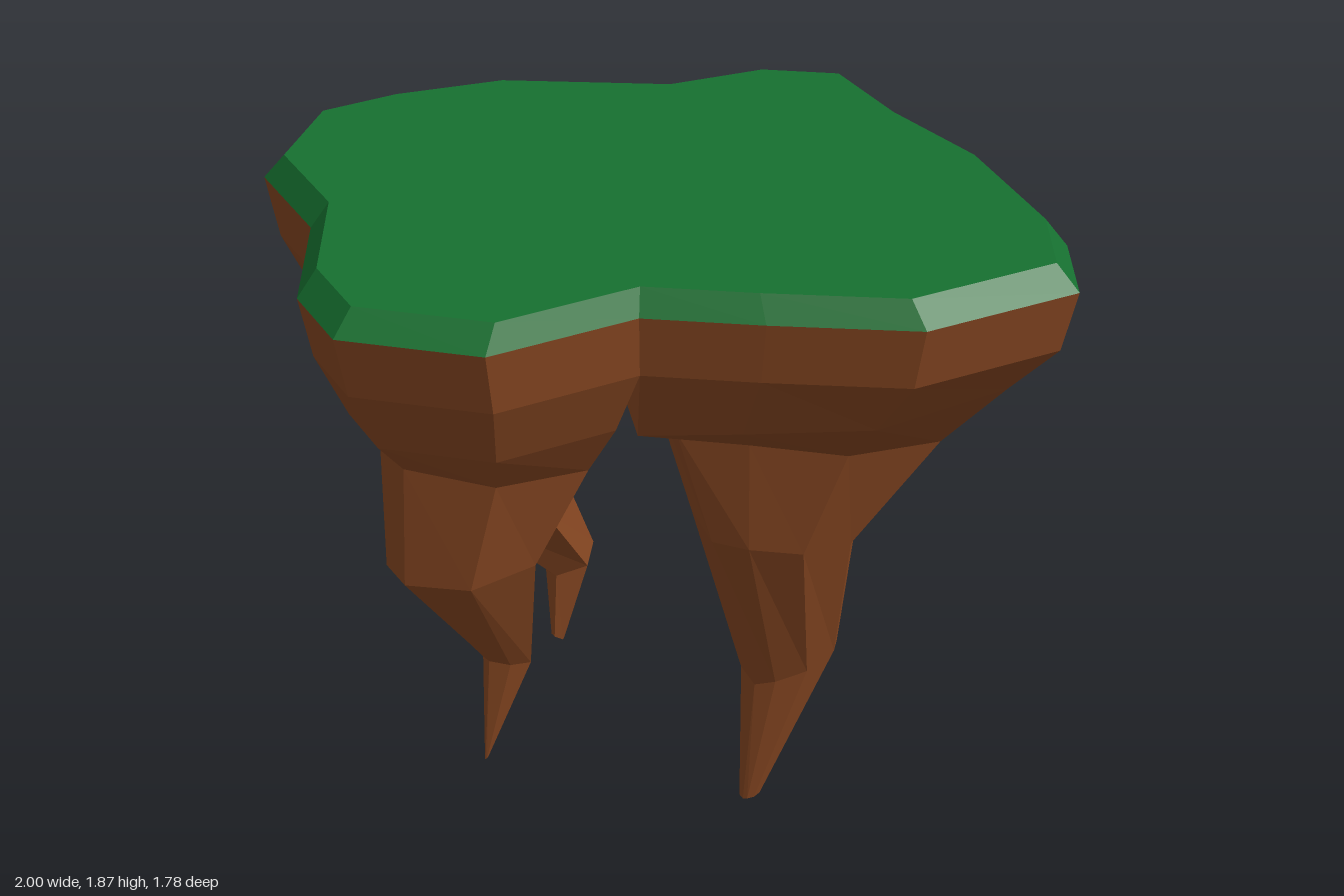
import * as THREE from 'three';

// Island rim seen from above, clockwise, as [x, z]
const RIM = [
  [-0.85, -0.75], [-0.62, -0.84], [-0.29, -0.89], [0.2, -0.755], [0.5, -0.82], [0.72, -0.74],
  [0.8, -0.4], [0.94, -0.03], [1, 0.455], [0.94, 0.745], [0.5, 0.89], [0.12, 0.775],
  [-0.18, 0.67], [-0.59, 0.815], [-0.94, 0.64], [-1, 0.38], [-0.915, -0.06], [-1, -0.43],
];
const CENTRE = [-0.15, -0.05]; // where the three rock spikes meet
const WAIST = 0.965;

const rimRing = (y, s) => RIM.map(([x, z]) => new THREE.Vector3(x * s, y, z * s));

// Skin rings listed from top to bottom, with optional fan caps
function loft(rings, capTop, capBottom) {
  const pos = [];
  const tri = (...pts) => pts.forEach((p) => pos.push(p.x, p.y, p.z));
  const n = rings[0].length;
  const cap = (ring, up) => {
    const c = ring.reduce((s, p) => s.add(p), new THREE.Vector3()).divideScalar(n);
    ring.forEach((a, i) => {
      const b = ring[(i + 1) % n];
      if (up) tri(c, b, a);
      else tri(c, a, b);
    });
  };
  for (let k = 0; k < rings.length - 1; k++) {
    for (let i = 0; i < n; i++) {
      const j = (i + 1) % n, hi = rings[k], lo = rings[k + 1];
      tri(lo[i], hi[i], hi[j]);
      tri(lo[i], hi[j], lo[j]);
    }
  }
  if (capTop) cap(rings[0], true);
  if (capBottom) cap(rings[rings.length - 1], false);
  const g = new THREE.BufferGeometry();
  g.setAttribute('position', new THREE.Float32BufferAttribute(pos, 3));
  g.computeVertexNormals();
  return g;
}

// Spike: a sector of the rim fitted into ever smaller boxes.
// level = [y at min x, y at max x, min x, max x, min z, max z, roundness]
function spike(from, to, levels) {
  const sector = [];
  for (let i = from; i <= to; i++) sector.push(RIM[i % RIM.length]);
  sector.push(CENTRE);
  const top = sector.map(([x, z]) => new THREE.Vector3(x * WAIST, 1.63, z * WAIST));
  const box = new THREE.Box3().setFromPoints(top);
  const mid = box.getCenter(new THREE.Vector3());
  const half = box.getSize(new THREE.Vector3()).multiplyScalar(0.5);
  const rings = levels.map(([yL, yR, x0, x1, z0, z1, round]) => top.map((p) => {
    const u = (p.x - mid.x) / half.x, v = (p.z - mid.z) / half.z;
    const k = THREE.MathUtils.lerp(1, 1 / Math.hypot(u, v), round);
    return new THREE.Vector3(
      (x0 + x1) / 2 + u * k * (x1 - x0) / 2,
      THREE.MathUtils.lerp(yL, yR, (u * k + 1) / 2),
      (z0 + z1) / 2 + v * k * (z1 - z0) / 2,
    );
  }));
  return loft([top, ...rings], false, true);
}

export function createModel() {
  const group = new THREE.Group();
  const grass = new THREE.MeshStandardMaterial({ color: 0x167030, flatShading: true });
  const rock = new THREE.MeshStandardMaterial({ color: 0x854621, flatShading: true });
  const add = (name, geometry, material) => {
    const mesh = new THREE.Mesh(geometry, material);
    mesh.name = name;
    group.add(mesh);
  };

  // Bevelled grass slab and the rock band under it
  add('grassTop', loft([rimRing(1.87, 0.945), rimRing(1.8, 1)], true, false), grass);
  add('rockBand', loft([rimRing(1.8, 1), rimRing(1.63, WAIST)], false, false), rock);

  // Large spike on the left half
  add('largeSpike', spike(3, 12, [
    [1.41, 1.48, -0.16, 0.86, -0.62, 0.72, 0],
    [1.27, 1.18, -0.02, 0.78, -0.51, 0.41, 0.25],
    [0.92, 0.88, 0.08, 0.53, -0.16, 0.35, 0.5],
    [0.37, 0.48, 0.24, 0.51, -0.1, 0.2, 0.6],
    [0, 0.02, 0.22, 0.28, 0.1, 0.17, 0.8],
  ]), rock);

  // Short spike at the front
  add('frontSpike', spike(12, 16, [
    [1.45, 1.45, -0.88, -0.2, 0, 0.7, 0],
    [1.35, 1.3, -0.8, -0.26, 0.05, 0.6, 0.1],
    [1, 1.03, -0.8, -0.4, 0.15, 0.57, 0.4],
    [0.65, 0.63, -0.54, -0.4, 0.25, 0.34, 1],
    [0.33, 0.34, -0.545, -0.535, 0.305, 0.315, 0.8],
  ]), rock);

  // Crooked spike at the back
  add('backSpike', spike(16, 21, [
    [1.43, 1.43, -0.86, 0.08, -0.78, -0.03, 0],
    [1.16, 1.18, -0.72, 0.01, -0.68, -0.12, 0.2],
    [0.83, 0.84, -0.54, -0.19, -0.45, -0.15, 0.3],
    [0.52, 0.57, -0.25, -0.09, -0.46, -0.31, 0.6],
    [0.33, 0.31, -0.245, -0.2, -0.35, -0.31, 0.8],
  ]), rock);

  return group;
}
